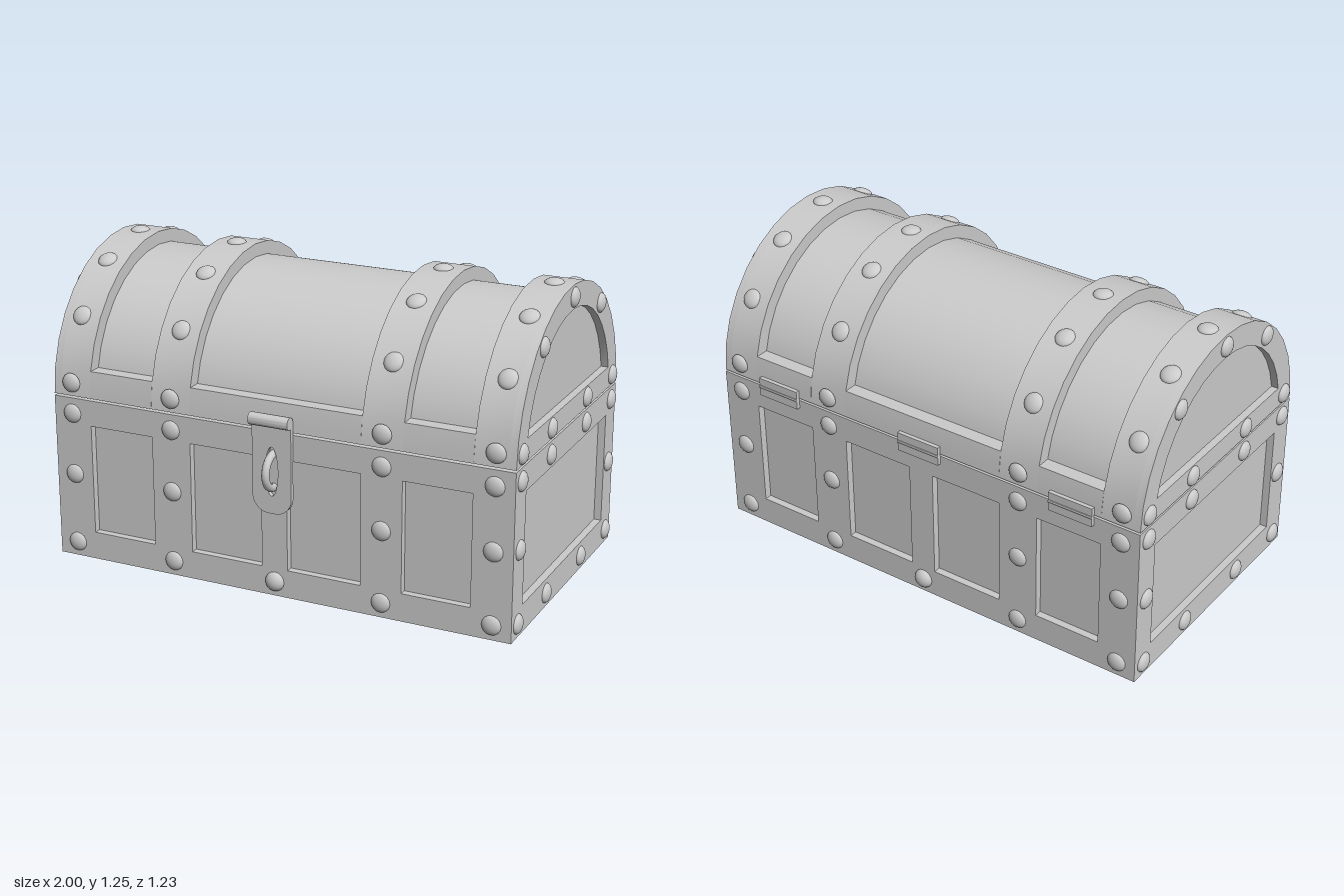
import * as THREE from 'three';
import { toCreasedNormals } from 'three/addons/utils/BufferGeometryUtils.js';

const W = 0.98, D = 0.56, T = 0.03;       // half width, half depth, frame thickness
const BODY = 0.677, LID = 0.686, CY = 0.675; // body top, lid bottom, arch centre
const material = new THREE.MeshStandardMaterial({ color: 0xcccccc });

function add(parent, name, geometry, x = 0, y = 0, z = 0) {
  const mesh = new THREE.Mesh(geometry, material);
  mesh.name = name;
  mesh.position.set(x, y, z);
  parent.add(mesh);
  return mesh;
}

function rect(Type, x0, y0, x1, y1) {
  const s = new Type();
  s.moveTo(x0, y0).lineTo(x1, y0).lineTo(x1, y1).lineTo(x0, y1).closePath();
  return s;
}

const extrude = (shape, depth) => toCreasedNormals(
  new THREE.ExtrudeGeometry(shape, { depth, bevelEnabled: false, curveSegments: 16 }), 0.5);

// Extrude a (z, y) profile along x from x0 to x1
const extrudeX = (shape, x0, x1) => extrude(shape, x1 - x0).rotateY(-Math.PI / 2).translate(x1, 0, 0);

// Points of an arch of radius r standing on height y0, from +z over to -z
function arch(r, y0) {
  const a = Math.asin((y0 - CY) / r), pts = [];
  for (let i = 0; i <= 16; i++) {
    const t = a + (Math.PI - 2 * a) * i / 16;
    pts.push(new THREE.Vector2(r * Math.cos(t), CY + r * Math.sin(t)));
  }
  return pts;
}

function rivet(parent, pos, normal, height = 0.02) {
  const dome = new THREE.SphereGeometry(0.04, 16, 6, 0, Math.PI * 2, 0, Math.PI / 2);
  dome.scale(1, height / 0.04, 1);
  const m = add(parent, 'rivet', dome, ...pos);
  m.quaternion.setFromUnitVectors(new THREE.Vector3(0, 1, 0), new THREE.Vector3(...normal).normalize());
}

function buildBody() {
  const g = new THREE.Group();
  g.name = 'body';
  add(g, 'core', new THREE.BoxGeometry(2 * (W - T), BODY, 2 * (D - T)), 0, BODY / 2, 0);

  // Front and back frames with four sunken panels each
  const long = rect(THREE.Shape, -W, 0, W, BODY);
  for (const [a, b] of [[-0.815, -0.535], [-0.365, -0.055], [0.055, 0.365], [0.535, 0.815]]) {
    long.holes.push(rect(THREE.Path, a, 0.115, b, 0.57));
  }
  add(g, 'frontFrame', extrude(long, T), 0, 0, D - T);
  add(g, 'backFrame', extrude(long, T), 0, 0, -D);

  // End frames with one sunken panel each
  const end = rect(THREE.Shape, -(D - T), 0, D - T, BODY);
  end.holes.push(rect(THREE.Path, -0.45, 0.115, 0.45, 0.57));
  add(g, 'leftFrame', extrudeX(end, W - T, W));
  add(g, 'rightFrame', extrudeX(end, -W, -W + T));
  return g;
}

function buildLid() {
  const g = new THREE.Group();
  g.name = 'lid';
  add(g, 'barrel', extrudeX(new THREE.Shape(arch(0.506, LID)), -W + T, W - T));

  // Raised bands around the barrel
  const band = new THREE.Shape([...arch(D, LID), ...arch(0.5, LID).reverse()]);
  for (const [a, b] of [[-W + T, -0.815], [-0.535, -0.365], [0.365, 0.535], [0.815, W - T]]) {
    add(g, 'band', extrudeX(band, a, b));
  }

  // Rim strips between the bands, front and back
  for (const s of [1, -1]) {
    const rim = new THREE.Shape();
    rim.moveTo(s * 0.46, LID).lineTo(s * D, LID).lineTo(s * 0.555, 0.745)
      .lineTo(s * 0.547, 0.795).lineTo(s * 0.46, 0.795).closePath();
    for (const [a, b] of [[-0.815, -0.535], [-0.365, 0.365], [0.535, 0.815]]) {
      add(g, 'rim', extrudeX(rim, a, b));
    }
  }

  // Arched end frames with a sunken half-round panel
  const end = new THREE.Shape(arch(D, LID));
  end.holes.push(new THREE.Path(arch(0.463, 0.775)));
  add(g, 'leftArch', extrudeX(end, W - T, W));
  add(g, 'rightArch', extrudeX(end, -W, -W + T));
  return g;
}

function buildRivets() {
  const g = new THREE.Group();
  g.name = 'rivets';
  for (const s of [1, -1]) {
    // Front and back columns
    for (const x of [-0.9, -0.45, 0.45, 0.9]) {
      for (const y of [0.06, 0.355, 0.612, 0.74]) rivet(g, [x, y, s * (D - 0.002)], [0, 0, s]);
    }
    rivet(g, [0, 0.06, s * D], [0, 0, s], 0.028);
    // Ends
    for (const z of [-0.5, -0.197, 0.197, 0.5]) {
      for (const y of [0.057, 0.625, 0.73]) rivet(g, [s * W, y, z], [s, 0, 0]);
    }
    for (const z of [-0.5, 0.5]) rivet(g, [s * W, 0.355, z], [s, 0, 0]);
    for (const [y, z] of [[1.185, 0], [1.08, 0.315], [1.08, -0.315]]) rivet(g, [s * W, y, z], [s, 0, 0]);
  }
  // Over the lid bands
  for (const x of [-0.9, -0.45, 0.45, 0.9]) {
    for (const deg of [34.5, 62.5, 90, 117.5, 145.5]) {
      const t = deg * Math.PI / 180, c = Math.cos(t), s = Math.sin(t);
      rivet(g, [x, CY + 0.555 * s, 0.555 * c], [0, s, c]);
    }
  }
  return g;
}

function buildLatch() {
  const g = new THREE.Group();
  g.name = 'latch';
  // Hasp plate with rounded bottom and a slot
  const plate = new THREE.Shape();
  plate.moveTo(0.083, 0.73).lineTo(-0.083, 0.73).lineTo(-0.083, 0.42)
    .absarc(-0.013, 0.42, 0.07, Math.PI, Math.PI * 1.5, false)
    .absarc(0.013, 0.42, 0.07, Math.PI * 1.5, Math.PI * 2, false).closePath();
  const slot = new THREE.Path();
  slot.absellipse(0, 0.522, 0.027, 0.1, 0, Math.PI * 2, true);
  plate.holes.push(slot);
  add(g, 'haspPlate', extrude(plate, 0.018), 0, 0, D);
  // Barrel hinge of the hasp
  const pin = toCreasedNormals(new THREE.CylinderGeometry(0.025, 0.025, 0.168, 16), 0.6);
  add(g, 'haspBarrel', pin.rotateZ(Math.PI / 2), 0, 0.73, D + 0.026);
  // Staple ring through the slot
  add(g, 'staple', new THREE.TorusGeometry(0.068, 0.016, 10, 28).rotateY(Math.PI / 2), 0, 0.522, D);
  return g;
}

function buildHinge(x) {
  const g = new THREE.Group();
  g.name = 'hinge';
  add(g, 'lowerLeaf', new THREE.BoxGeometry(0.19, 0.036, 0.016), x, 0.66, -D - 0.008);
  add(g, 'upperLeaf', new THREE.BoxGeometry(0.19, 0.036, 0.016), x, 0.703, -D - 0.008);
  const pin = toCreasedNormals(new THREE.CylinderGeometry(0.01, 0.01, 0.19, 10), 0.8);
  add(g, 'hingePin', pin.rotateZ(Math.PI / 2), x, 0.681, -D - 0.01);
  return g;
}

export function createModel() {
  const model = new THREE.Group();
  model.name = 'chest';
  const chest = new THREE.Group();
  chest.name = 'chestParts';
  chest.position.z = -0.025;
  chest.add(buildBody(), buildLid(), buildRivets(), buildLatch());
  for (const x of [-0.69, 0, 0.69]) chest.add(buildHinge(x));
  model.add(chest);
  return model;
}
